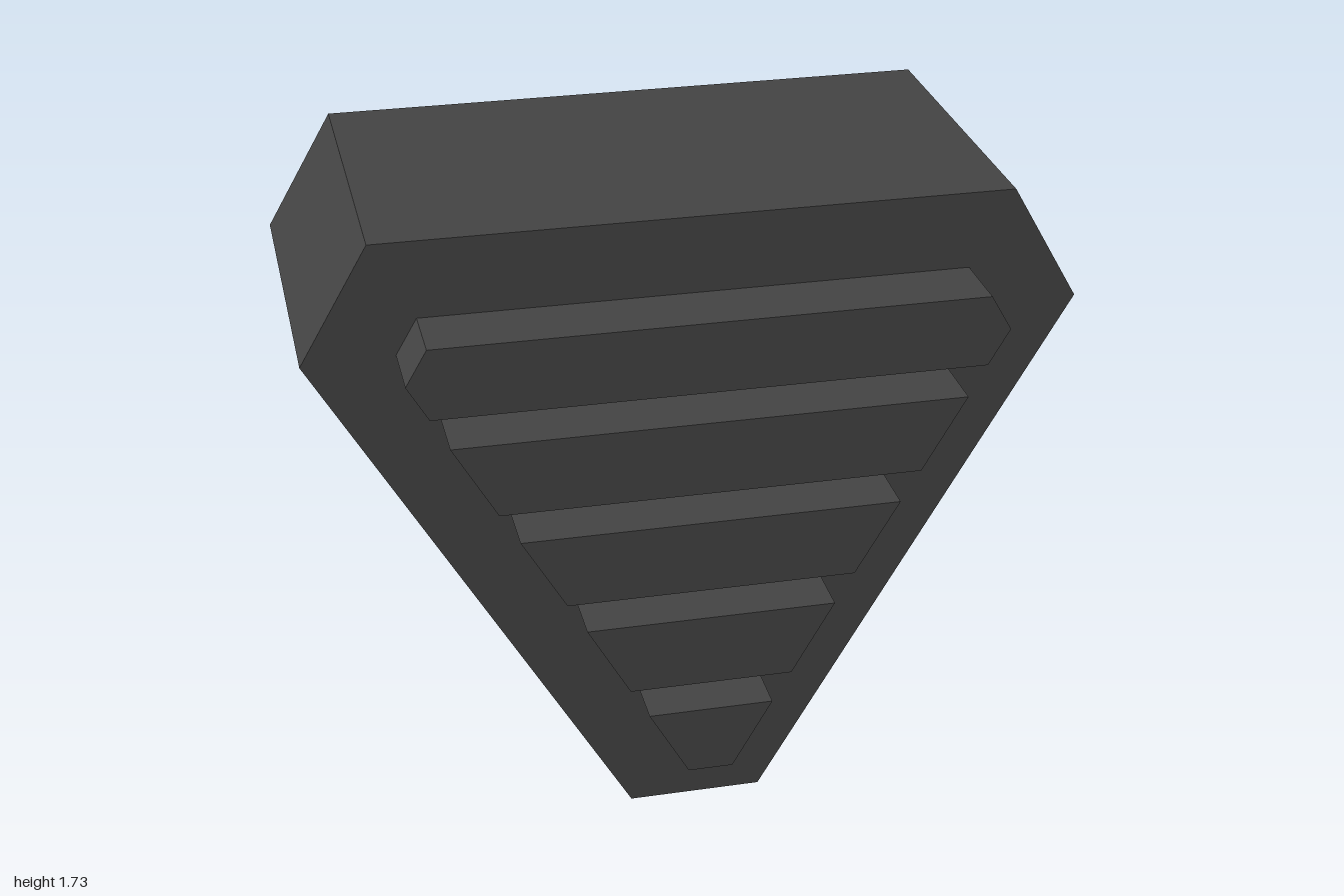
import * as THREE from 'three';

const material = new THREE.MeshStandardMaterial({ color: 0x444444, flatShading: true });

// Prism from [halfWidth, y] pairs listed bottom to top, mirrored across x = 0
function symmetricPrism(name, profile, zBack, zFront) {
  const right = profile.map(([x, y]) => new THREE.Vector2(x, y));
  const left = profile.map(([x, y]) => new THREE.Vector2(-x, y)).reverse();
  const geometry = new THREE.ExtrudeGeometry(new THREE.Shape([...right, ...left]), {
    depth: zFront - zBack,
    bevelEnabled: false,
  });
  geometry.translate(0, 0, zBack);
  const mesh = new THREE.Mesh(geometry, material);
  mesh.name = name;
  return mesh;
}

export function createModel() {
  const group = new THREE.Group();
  group.name = 'ribbedWedge';

  const bodyHalf = 0.453, ribFace = 0.635;

  // Tapered body with chamfered upper corners
  group.add(symmetricPrism('body', [[0.18, 0], [1, 1.42], [0.82, 1.73]], -bodyHalf, bodyHalf));

  // Raised ribs, narrowing downwards, on the front and back faces
  const ribs = [
    [[0.06, 0.205], [0.167, 0.395]],
    [[0.217, 0.48], [0.33, 0.68]],
    [[0.38, 0.765], [0.496, 0.965]],
    [[0.547, 1.05], [0.662, 1.25]],
    [[0.708, 1.335], [0.763, 1.43], [0.708, 1.525]],
  ];
  ribs.forEach((profile, i) => {
    group.add(symmetricPrism(`frontRib${i + 1}`, profile, bodyHalf, ribFace));
    group.add(symmetricPrism(`backRib${i + 1}`, profile, -ribFace, -bodyHalf));
  });

  return group;
}
